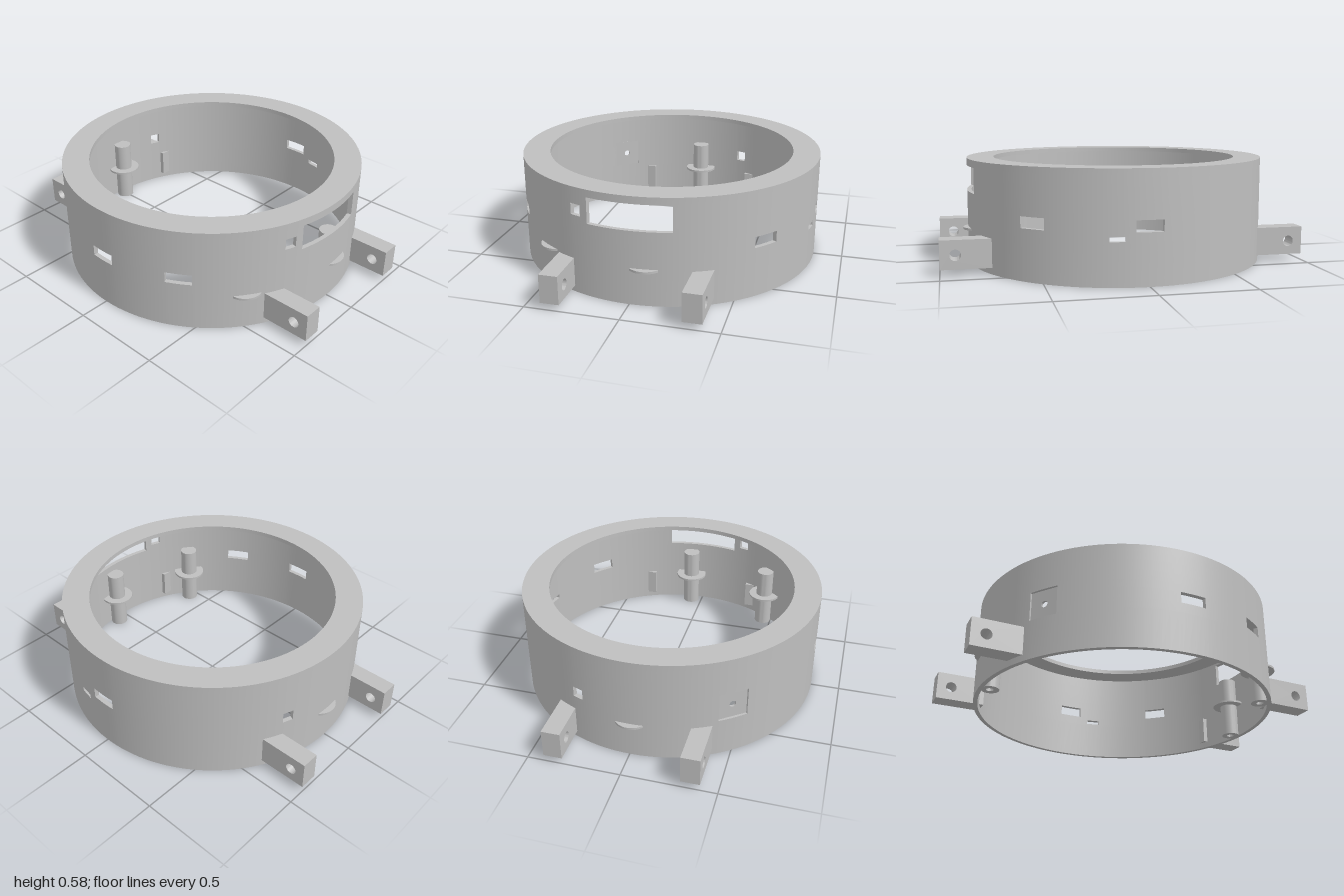
import * as THREE from 'three';
import { toCreasedNormals } from 'three/addons/utils/BufferGeometryUtils.js';

const OUTER = 0.84, INNER = 0.816, HEIGHT = 0.58;
const grey = new THREE.MeshStandardMaterial({ color: 0xbfbfbf });
grey.name = 'grey';

// Flat pocket with a pin hole, on the back right
const POCKET = { x: -0.504, z: -0.674, y0: 0.215, y1: 0.375, width: 0.16 };

// Openings through the wall: centre (x, z), width along the wall, y range
const OPENINGS = [
  { x: 0, z: 0.84, width: 0.44, y0: 0.4, y1: 0.54 },
  { x: -0.288, z: 0.79, width: 0.06, y0: 0.43, y1: 0.49 },
  { x: 0.84, z: 0, width: 0.14, y0: 0.27, y1: 0.33 },
  { x: -0.84, z: 0, width: 0.14, y0: 0.27, y1: 0.33 },
  { x: 0.635, z: 0.55, width: 0.14, y0: 0.27, y1: 0.33 },
  { x: -0.72, z: 0.43, width: 0.14, y0: 0.27, y1: 0.33 },
  { x: 0.285, z: -0.79, width: 0.06, y0: 0.27, y1: 0.33 },
  { x: 0.825, z: 0.16, width: 0.08, y0: 0.225, y1: 0.25 },
  POCKET,
].map((o) => ({ ...o, angle: Math.atan2(o.x, o.z), half: Math.asin(o.width / 2 / OUTER) }));

function part(name, geometry, crease = 0.5) {
  const mesh = new THREE.Mesh(toCreasedNormals(geometry, crease), grey);
  mesh.name = name;
  return mesh;
}

// Curved wall as a grid of cells, leaving out the cells inside openings
function wallGeometry() {
  const TAU = Math.PI * 2;
  const tidy = (list) => list.sort((a, b) => a - b).filter((v, i) => i === 0 || v - list[i - 1] > 1e-5);
  const angles = [], ys = [0, HEIGHT];
  for (let i = 0; i < 120; i++) angles.push((i / 120) * TAU);
  for (const o of OPENINGS) {
    angles.push((o.angle - o.half + TAU) % TAU, (o.angle + o.half + TAU) % TAU);
    ys.push(o.y0, o.y1);
  }
  const A = tidy(angles), Y = tidy(ys), n = A.length, m = Y.length - 1;
  A.push(TAU);

  const solid = (i, j) => {
    if (j < 0 || j >= m) return false;
    const k = (i + n) % n;
    const a = (A[k] + A[k + 1]) / 2, y = (Y[j] + Y[j + 1]) / 2;
    return !OPENINGS.some((o) => {
      const d = Math.atan2(Math.sin(a - o.angle), Math.cos(a - o.angle));
      return Math.abs(d) < o.half && y > o.y0 && y < o.y1;
    });
  };

  const pos = [];
  const point = (r, a, y) => [r * Math.sin(a), y, r * Math.cos(a)];
  const quad = (a, b, c, d) => pos.push(...a, ...b, ...c, ...a, ...c, ...d);
  for (let i = 0; i < n; i++) {
    for (let j = 0; j < m; j++) {
      if (!solid(i, j)) continue;
      const [a0, a1, y0, y1] = [A[i], A[i + 1], Y[j], Y[j + 1]];
      const o00 = point(OUTER, a0, y0), o10 = point(OUTER, a1, y0);
      const o01 = point(OUTER, a0, y1), o11 = point(OUTER, a1, y1);
      const i00 = point(INNER, a0, y0), i10 = point(INNER, a1, y0);
      const i01 = point(INNER, a0, y1), i11 = point(INNER, a1, y1);
      quad(o00, o10, o11, o01);
      quad(i10, i00, i01, i11);
      if (!solid(i + 1, j)) quad(o10, i10, i11, o11);
      if (!solid(i - 1, j)) quad(i00, o00, o01, i01);
      if (!solid(i, j + 1)) quad(o01, o11, i11, i01);
      if (!solid(i, j - 1)) quad(i00, i10, o10, o00);
    }
  }
  const geometry = new THREE.BufferGeometry();
  geometry.setAttribute('position', new THREE.Float32BufferAttribute(pos, 3));
  return geometry;
}

function rectangle(x0, x1, y0, y1) {
  return new THREE.Shape([[x0, y0], [x1, y0], [x1, y1], [x0, y1]].map(([x, y]) => new THREE.Vector2(x, y)));
}

function roundHole(shape, x, y, r) {
  shape.holes.push(new THREE.Path().absarc(x, y, r, 0, Math.PI * 2, true));
  return shape;
}

function extrude(shape, depth, curveSegments = 24) {
  return new THREE.ExtrudeGeometry(shape, { depth, bevelEnabled: false, curveSegments });
}

export function createModel() {
  const model = new THREE.Group();
  model.name = 'ringHousing';
  model.add(part('wall', wallGeometry()));

  // Inward lip around the top
  const lipShape = roundHole(new THREE.Shape().absarc(0, 0, INNER + 0.004, 0, Math.PI * 2, false), 0, 0, 0.69);
  const lip = part('topLip', extrude(lipShape, 0.025, 120).rotateX(-Math.PI / 2));
  lip.position.y = HEIGHT - 0.025;
  model.add(lip);

  // Floor of the flat pocket
  const h = POCKET.width / 2;
  const floor = part('pocketFloor', extrude(roundHole(rectangle(-h, h, -h, h), 0, 0, 0.018), 0.012).translate(0, 0, 0.814));
  floor.position.y = (POCKET.y0 + POCKET.y1) / 2;
  floor.rotation.y = Math.atan2(POCKET.x, POCKET.z);
  model.add(floor);

  // Four lugs with a cross hole
  const lugShape = roundHole(rectangle(0.73, 1, 0.035, 0.19), 0.92, 0.11, 0.03);
  const lugGeometry = extrude(lugShape, 0.1).translate(0, 0, -0.05).rotateY(-Math.PI / 2);
  for (const turn of [0, Math.PI]) {
    const pair = new THREE.Group();
    pair.name = turn ? 'backLugs' : 'frontLugs';
    for (const x of [-0.36, 0.36]) {
      const lug = part('lug', lugGeometry);
      lug.position.x = x;
      pair.add(lug);
    }
    pair.rotation.y = turn;
    model.add(pair);
  }

  // Posts with a collar that breaks through the wall
  const profile = [[0, 0.1], [0.02, 0.1], [0.02, 0], [0.05, 0], [0.05, 0.36], [0, 0.36]];
  const postGeometry = new THREE.LatheGeometry(profile.map(([x, y]) => new THREE.Vector2(x, y)), 32);
  const collarGeometry = new THREE.CylinderGeometry(0.095, 0.095, 0.012, 48);
  for (const [x, z] of [[0.07, 0.773], [-0.45, 0.634], [0, -0.777]]) {
    const post = new THREE.Group();
    post.name = 'post';
    const collar = part('collar', collarGeometry);
    collar.position.y = 0.195;
    post.add(part('pin', postGeometry), collar);
    post.position.set(x, 0, z);
    model.add(post);
  }
  return model;
}
